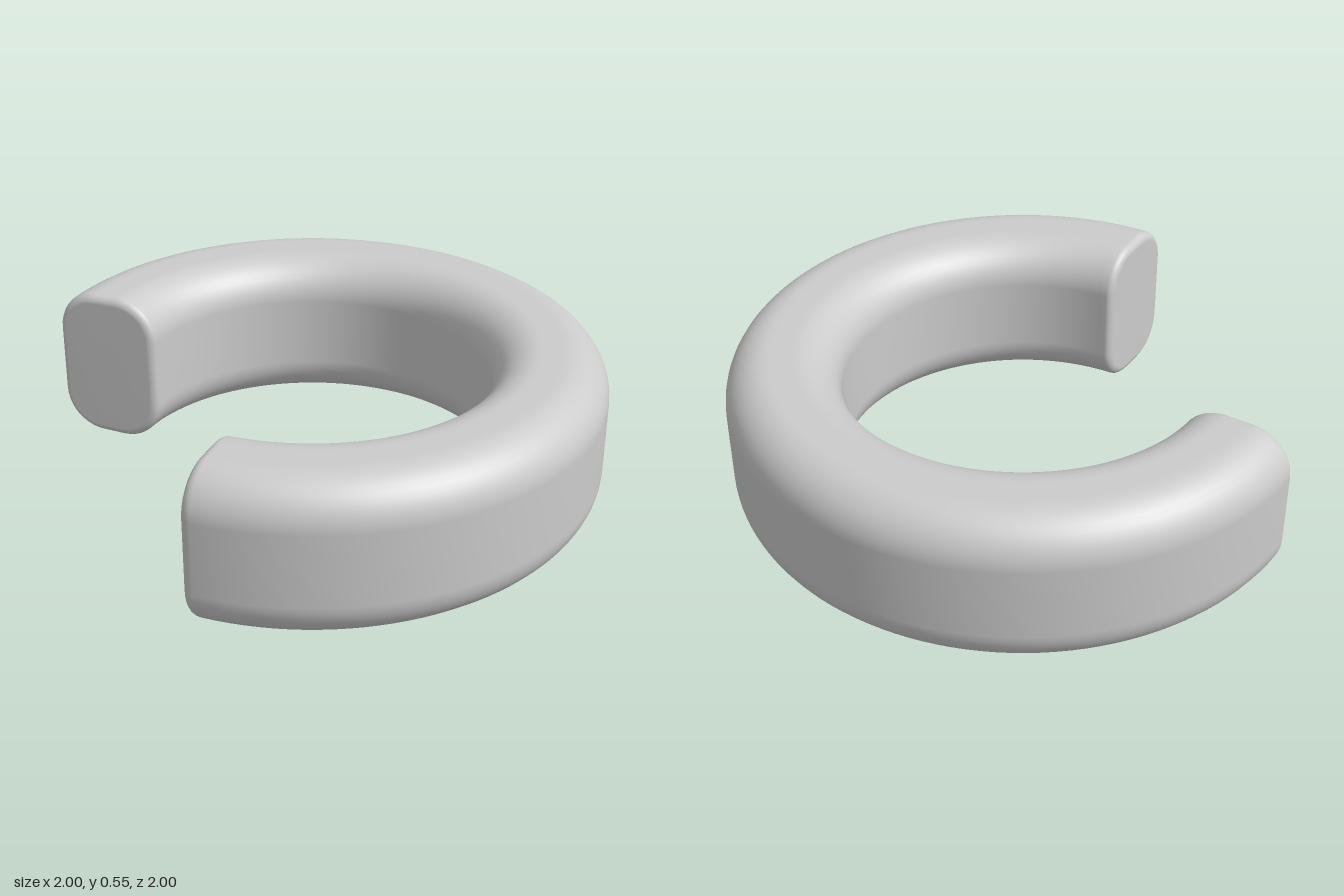
import * as THREE from 'three';

const MID = 0.807, HALF_W = 0.193, HALF_H = 0.275, CORNER = 0.15, BEVEL = 0.03;
const SWEEP = Math.PI * 1.5, STEPS = 96, CORNER_STEPS = 10, BEVEL_STEPS = 5;

// Rounded-rectangle section [radius, height], shrunk evenly by inset
function section(inset) {
  const r = CORNER - inset, pts = [];
  [[1, 1], [-1, 1], [-1, -1], [1, -1]].forEach(([sx, sy], q) => {
    for (let i = 0; i <= CORNER_STEPS; i++) {
      const t = (q + i / CORNER_STEPS) * Math.PI / 2;
      pts.push([
        MID + sx * (HALF_W - CORNER) + r * Math.cos(t),
        HALF_H + sy * (HALF_H - CORNER) + r * Math.sin(t),
      ]);
    }
  });
  return pts;
}

// Stations along the ring: [angle, inset], with rounded edges at both ends
function stations() {
  const bevel = [];
  for (let i = 0; i < BEVEL_STEPS; i++) {
    const t = i / BEVEL_STEPS * Math.PI / 2;
    bevel.push([BEVEL * (1 - Math.cos(t)) / MID, BEVEL * (1 - Math.sin(t))]);
  }
  const a0 = BEVEL / MID, body = [];
  for (let i = 0; i <= STEPS; i++) body.push([a0 + (SWEEP - 2 * a0) * i / STEPS, 0]);
  const end = bevel.map(([a, d]) => [SWEEP - a, d]).reverse();
  return [...bevel, ...body, ...end];
}

function ringGeometry() {
  const pos = [], index = [], rows = stations();
  const add = (a, r, y) => pos.push(r * Math.sin(a), y, r * Math.cos(a));
  const n = section(0).length;
  rows.forEach(([a, inset]) => section(inset).forEach(([r, y]) => add(a, r, y)));

  // Skin between neighbouring sections
  for (let i = 0; i < rows.length - 1; i++) {
    for (let j = 0; j < n; j++) {
      const k = (j + 1) % n, p = i * n, q = p + n;
      index.push(p + j, q + j, p + k, p + k, q + j, q + k);
    }
  }

  // Flat end caps
  const first = rows.length * n, last = (rows.length - 1) * n;
  add(0, MID, HALF_H);
  add(SWEEP, MID, HALF_H);
  for (let j = 0; j < n; j++) {
    const k = (j + 1) % n;
    index.push(first, j, k, first + 1, last + k, last + j);
  }

  const geo = new THREE.BufferGeometry();
  geo.setAttribute('position', new THREE.Float32BufferAttribute(pos, 3));
  geo.setIndex(index);
  geo.computeVertexNormals();
  return geo;
}

export function createModel() {
  const group = new THREE.Group();
  group.name = 'openRing';
  // Three-quarter ring, open at the front right
  const ring = new THREE.Mesh(ringGeometry(), new THREE.MeshStandardMaterial({ color: 0xcccccc }));
  ring.name = 'threeQuarterRing';
  group.add(ring);
  return group;
}
